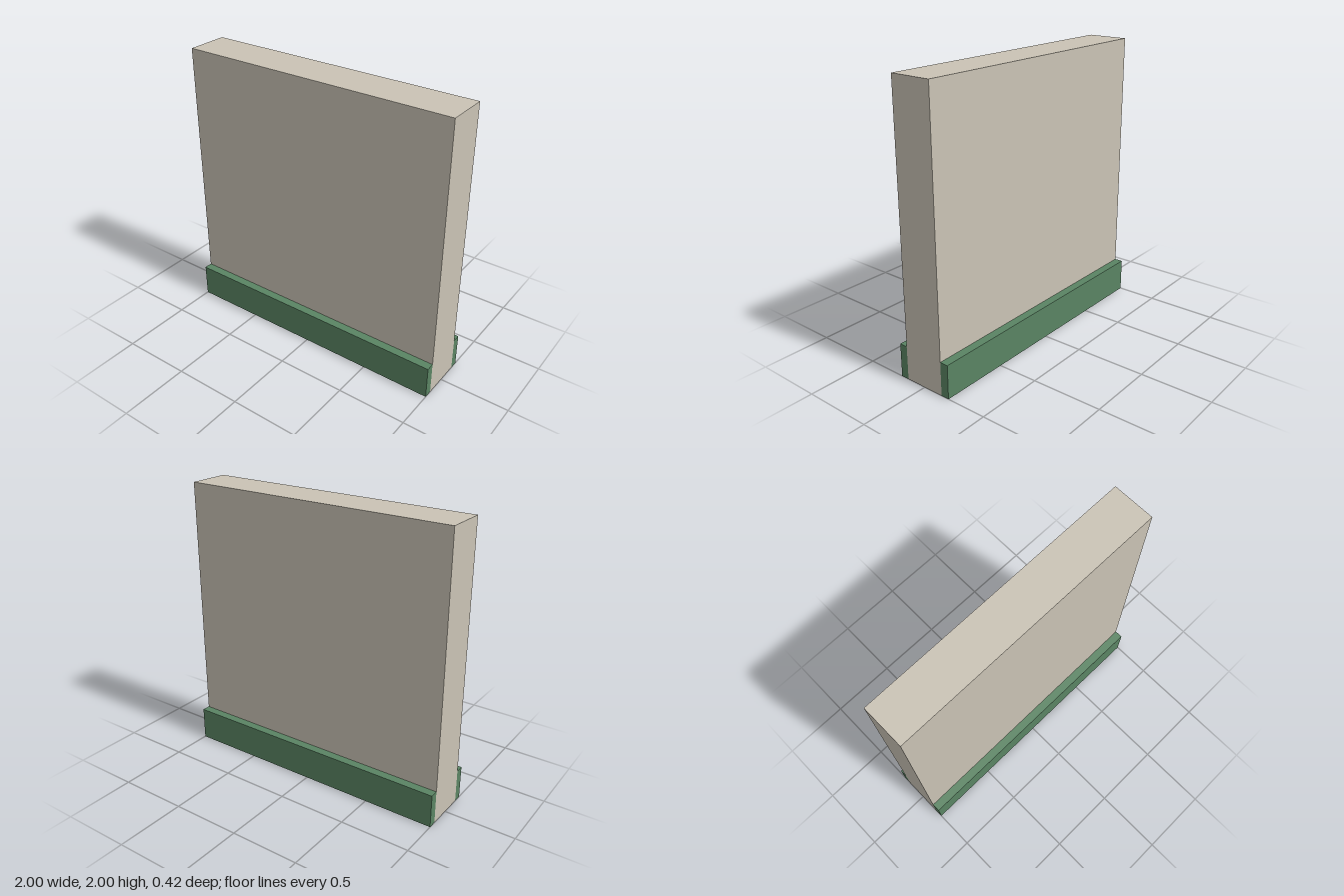
import * as THREE from 'three';

export function createModel() {
  const model = new THREE.Group();
  model.name = 'wallSegment';

  const plaster = new THREE.MeshStandardMaterial({ color: 0xcac3b5 });
  plaster.name = 'beige plaster';
  const paint = new THREE.MeshStandardMaterial({ color: 0x5a8463 });
  paint.name = 'green paint';

  const width = 2, height = 2, wallDepth = 0.3;
  const boardHeight = 0.24, boardDepth = 0.06;

  // Box standing on the ground at depth z
  function addSlab(name, h, d, z, material) {
    const mesh = new THREE.Mesh(new THREE.BoxGeometry(width, h, d), material);
    mesh.name = name;
    mesh.position.set(0, h / 2, z);
    model.add(mesh);
  }

  // Wall panel
  addSlab('wall', height, wallDepth, 0, plaster);

  // Baseboards along both faces of the wall
  const boardZ = (wallDepth + boardDepth) / 2;
  addSlab('frontBaseboard', boardHeight, boardDepth, boardZ, paint);
  addSlab('backBaseboard', boardHeight, boardDepth, -boardZ, paint);

  return model;
}
